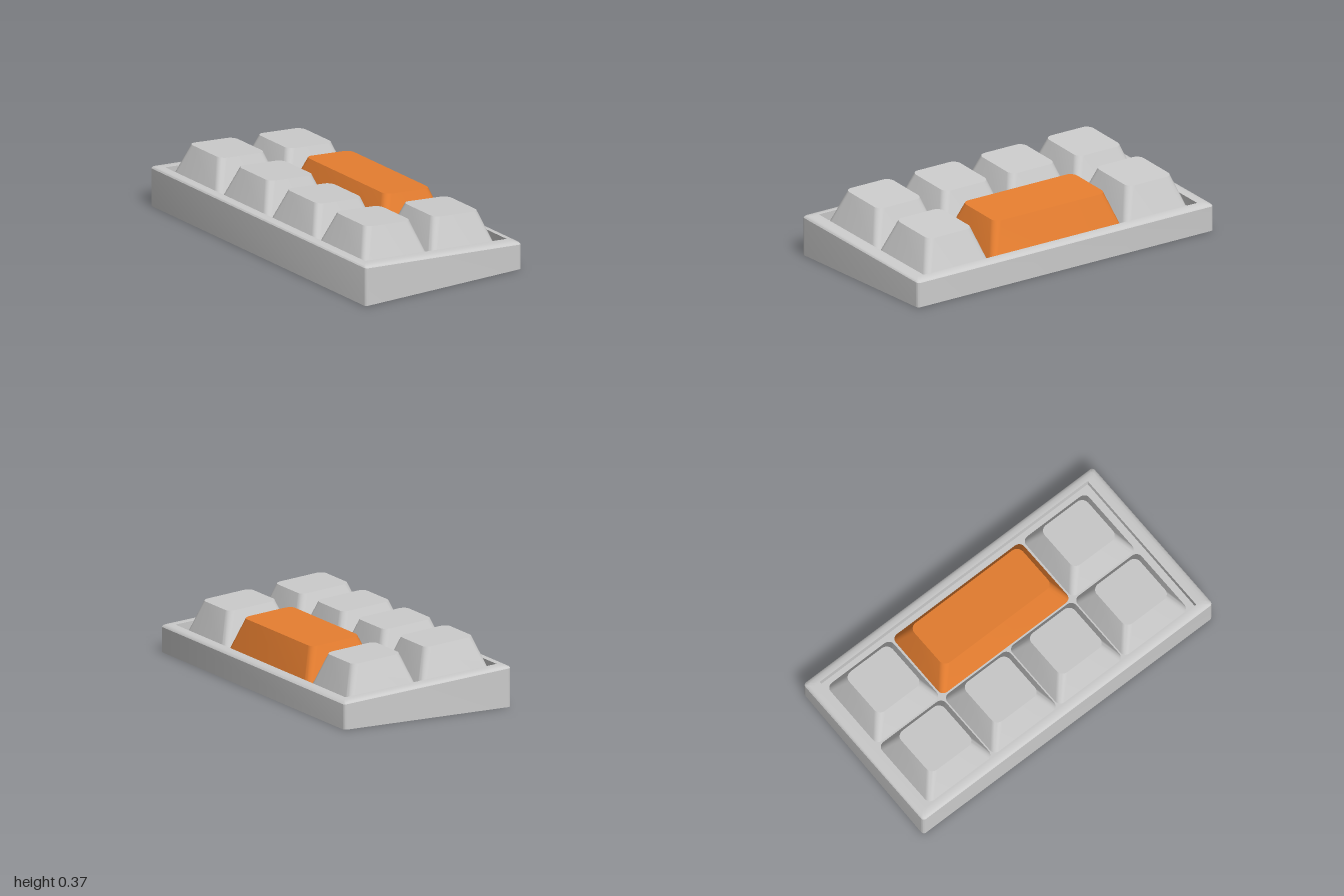
import * as THREE from 'three';
import { toCreasedNormals } from 'three/addons/utils/BufferGeometryUtils.js';

const CORNER_STEPS = 6;

// Rounded rectangle around (cx, cz); its height follows y = h - slope * x
function ring({ cx = 0, cz = 0, hx, hz, r, h, slope }) {
  const points = [];
  const signs = [[1, 1], [-1, 1], [-1, -1], [1, -1]];
  signs.forEach(([sx, sz], q) => {
    for (let i = 0; i <= CORNER_STEPS; i++) {
      const a = (q + i / CORNER_STEPS) * Math.PI / 2;
      const x = cx + sx * (hx - r) + Math.cos(a) * r;
      const z = cz + sz * (hz - r) + Math.sin(a) * r;
      points.push(new THREE.Vector3(x, h - slope * x, z));
    }
  });
  return points;
}

// Skin through the rings, closed with a cap at both ends
function loft(sections, crease) {
  const rings = sections.map(ring);
  const n = rings[0].length;
  const positions = [];
  const tri = (...corners) => corners.forEach((p) => positions.push(p.x, p.y, p.z));
  const middle = (points) =>
    points.reduce((sum, p) => sum.add(p), new THREE.Vector3()).divideScalar(n);
  const first = rings[0];
  const last = rings[rings.length - 1];
  const firstMid = middle(first);
  const lastMid = middle(last);
  for (let i = 0; i < n; i++) {
    const j = (i + 1) % n;
    for (let k = 0; k < rings.length - 1; k++) {
      const a = rings[k];
      const b = rings[k + 1];
      tri(a[i], b[i], b[j]);
      tri(a[i], b[j], a[j]);
    }
    tri(firstMid, first[i], first[j]);
    tri(lastMid, last[j], last[i]);
  }
  const geometry = new THREE.BufferGeometry();
  geometry.setAttribute('position', new THREE.Float32BufferAttribute(positions, 3));
  return toCreasedNormals(geometry, crease);
}

export function createModel() {
  const group = new THREE.Group();
  const grey = new THREE.MeshStandardMaterial({ color: 0xcccccc });
  const orange = new THREE.MeshStandardMaterial({ color: 0xe67e30 });

  const add = (name, geometry, material) => {
    const mesh = new THREE.Mesh(geometry, material);
    mesh.name = name;
    group.add(mesh);
  };

  // Wedge-shaped tray: outer wall, softened rim, recess wall, floor
  const slope = 0.073;
  add('case', loft([
    { hx: 0.52, hz: 1, r: 0.02, h: 0, slope: 0 },
    { hx: 0.52, hz: 1, r: 0.02, h: 0.178, slope },
    { hx: 0.514, hz: 0.994, r: 0.02, h: 0.186, slope },
    { hx: 0.5, hz: 0.98, r: 0.018, h: 0.191, slope },
    { hx: 0.48, hz: 0.96, r: 0.012, h: 0.194, slope },
    { hx: 0.47, hz: 0.925, r: 0.004, h: 0.194, slope },
    { hx: 0.47, hz: 0.925, r: 0.004, h: 0.145, slope },
  ], 0.6), grey);

  // Tapered keycaps with tilted flat tops
  const tilt = 0.086;
  const addKey = (name, cx, cz, span, material) => {
    const extra = (span - 1) * 0.225;
    add(name, loft([
      { cx, cz, hx: 0.221, hz: 0.221 + extra, r: 0.035, h: 0.143, slope: tilt },
      { cx, cz, hx: 0.15, hz: 0.15 + extra, r: 0.042, h: 0.341, slope: tilt },
    ], 0.7), material);
  };
  const rows = [-0.685, -0.235, 0.215, 0.665];
  rows.forEach((z, i) => addKey(`rightColumnKey${i + 1}`, -0.231, z, 1, grey));
  addKey('leftColumnBackKey', 0.22, rows[0], 1, grey);
  addKey('doubleKey', 0.22, (rows[1] + rows[2]) / 2, 2, orange);
  addKey('leftColumnFrontKey', 0.22, rows[3], 1, grey);

  return group;
}
